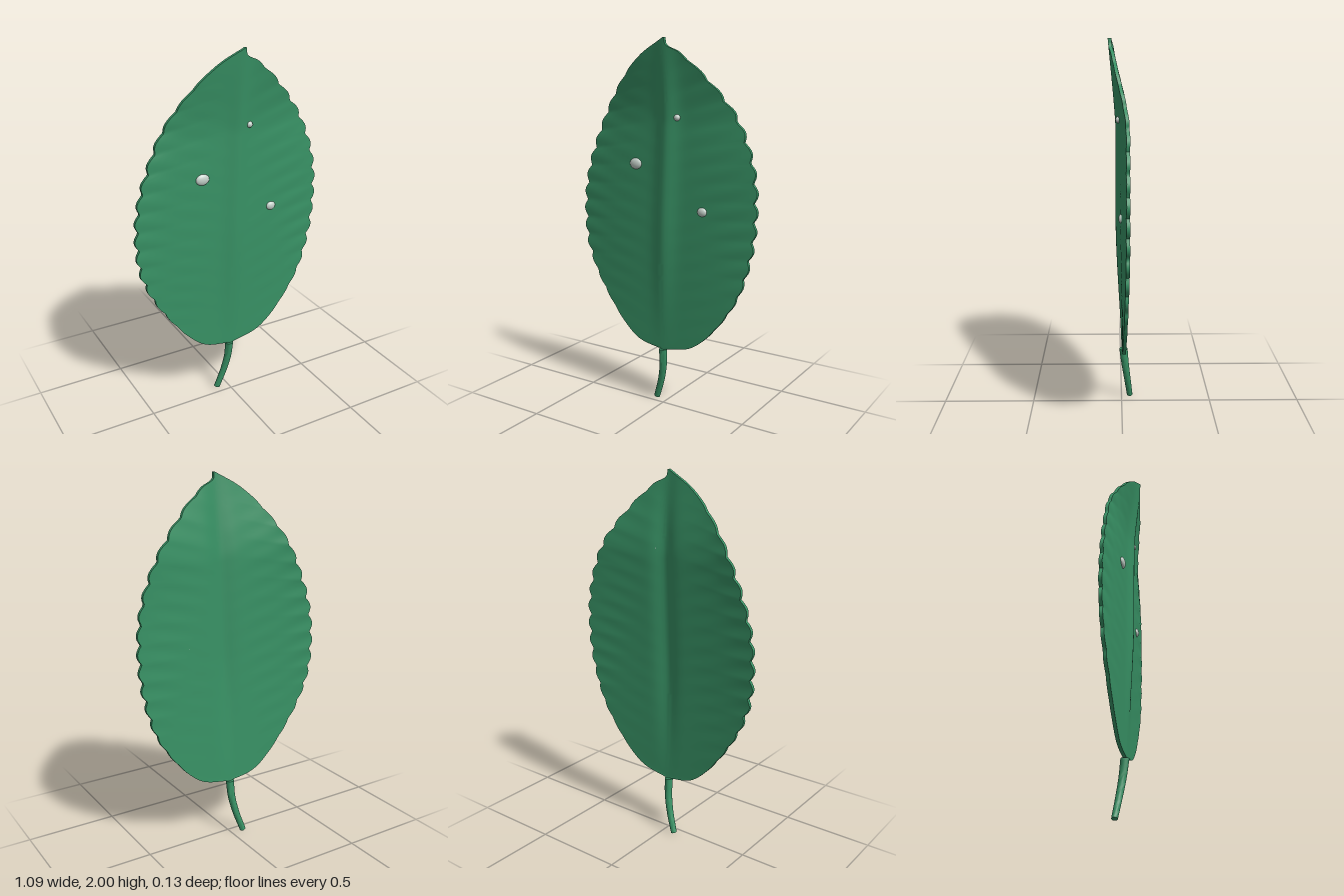
import * as THREE from 'three';
import { toCreasedNormals } from 'three/addons/utils/BufferGeometryUtils.js';

const ROWS = 180, HALF = 16, THICK = 0.018;
const smooth = THREE.MathUtils.smoothstep;
const curve = (pts) => new THREE.CatmullRomCurve3(pts.map((p) => new THREE.Vector3(p[0], p[1], p[2] || 0)));

// Outlines of the two sides, from the base to the tip
const leftEdge = curve([[0.547, 0], [0, 0]].slice(2).concat([
  [0, 0.315], [0.195, 0.37], [0.42, 0.63], [0.505, 0.86], [0.537, 1.1], [0.52, 1.35],
  [0.43, 1.59], [0.275, 1.79], [0.125, 1.925], [0.055, 1.965], [0.048, 2.0]]));
const rightEdge = curve([
  [0, 0.315], [-0.18, 0.36], [-0.4, 0.61], [-0.515, 0.85], [-0.537, 1.07], [-0.515, 1.26],
  [-0.46, 1.43], [-0.365, 1.63], [-0.245, 1.79], [-0.11, 1.915], [0.043, 2.0]]);

// Centre line bends towards the tip
const midX = (y) => 0.046 * smooth(y, 0.4, 2.1) ** 0.8;

// Depth of the middle of the blade; s runs from 0 at the midrib to 1 at the edge
function depth(x, y, s) {
  const low = smooth(y, 0.2, 1.1), top = 1 - smooth(y, 1.6, 1.98);
  const ridge = 0.022 * Math.exp(-(((x - midX(y)) / 0.055) ** 2));
  const dome = 0.012 * (1 - s * s) - 0.015 * s * s;
  const ripple = 0.0011 * s * Math.sin((y - 0.35 * Math.abs(x)) * 58);
  const curl = 0.066 * smooth(y, 1.55, 2.05);
  return -0.01 + curl + low * (top * (dome + ripple) + ridge * (0.35 + 0.65 * top));
}

// Point on the outline with rounded teeth
function edgePoint(edge, u, side) {
  const p = edge.getPoint(u);
  const fade = smooth(u, 0.1, 0.35) * (1 - smooth(u, 0.6, 0.92));
  const wave = Math.abs(Math.sin(p.y * Math.PI / 0.1 + side * 0.4)) - 0.6;
  p.x += side * wave * (0.003 * smooth(u, 0.08, 0.2) * (1 - smooth(u, 0.8, 0.95)) + 0.02 * fade);
  return p;
}

// Closed loops of front and back points joined from base to tip
function bladeGeometry() {
  const pos = [], index = [], cols = HALF * 2 + 1, ring = cols * 2;
  for (let i = 0; i <= ROWS; i++) {
    const u = 0.002 + 0.998 * i / ROWS;
    const l = edgePoint(leftEdge, u, 1), r = edgePoint(rightEdge, u, -1);
    const y0 = (l.y + r.y) / 2;
    const mid = new THREE.Vector3(THREE.MathUtils.clamp(midX(y0), r.x, l.x), y0, 0);
    const row = [];
    for (let j = -HALF; j <= HALF; j++) {
      const s = Math.abs(j) / HALF;
      const p = mid.clone().lerp(j < 0 ? r : l, s ** 1.25);
      row.push([p.x, p.y, depth(p.x, p.y, s ** 1.25)]);
    }
    row.forEach((p) => pos.push(p[0], p[1], p[2] + THICK / 2));
    row.reverse().forEach((p) => pos.push(p[0], p[1], p[2] - THICK / 2));
  }
  for (let i = 0; i < ROWS; i++) {
    for (let j = 0; j < ring; j++) {
      const a = i * ring + j, b = i * ring + (j + 1) % ring;
      index.push(a, b, b + ring, a, b + ring, a + ring);
    }
  }
  // Close the base and the tip
  const end = ROWS * ring;
  for (let j = 0; j < cols - 1; j++) {
    const a = j, b = j + 1, c = ring - 1 - j, d = ring - 2 - j;
    index.push(a, c, d, a, d, b, end + a, end + d, end + c, end + a, end + b, end + d);
  }
  const geo = new THREE.BufferGeometry();
  geo.setAttribute('position', new THREE.Float32BufferAttribute(pos, 3));
  geo.setIndex(index);
  return toCreasedNormals(geo, 0.8);
}

// Tapered cylinder bent along a curve
function stalkGeometry() {
  const path = curve([[-0.071, 0.006, -0.047], [-0.033, 0.12, -0.033], [-0.012, 0.22, -0.02], [-0.007, 0.315, -0.01]]);
  const geo = new THREE.CylinderGeometry(0.023, 0.016, 1, 16, 16);
  const pos = geo.attributes.position;
  for (let i = 0; i < pos.count; i++) {
    const t = pos.getY(i) + 0.5, p = path.getPoint(t);
    const tilt = -0.35 * pos.getX(i) * (1 - t);
    pos.setXYZ(i, p.x + pos.getX(i), p.y + tilt, p.z + pos.getZ(i));
  }
  return toCreasedNormals(geo, 0.8);
}

export function createModel() {
  const group = new THREE.Group();
  group.name = 'leaf';
  const green = new THREE.MeshStandardMaterial({ color: 0x389265 });
  green.name = 'leafGreen';
  const pale = new THREE.MeshStandardMaterial({ color: 0xc6d2cb });
  pale.name = 'dewWhite';

  const add = (name, geo, mat) => {
    const mesh = new THREE.Mesh(geo, mat);
    mesh.name = name;
    group.add(mesh);
    return mesh;
  };
  add('blade', bladeGeometry(), green);
  add('stalk', stalkGeometry(), green);

  // Dew drops: x, y, half width, half height
  [[-0.17, 1.345, 0.038, 0.03], [0.243, 1.12, 0.028, 0.024], [0.097, 1.6, 0.018, 0.017]].forEach(([x, y, w, h], i) => {
    const drop = add('dewDrop' + (i + 1), new THREE.SphereGeometry(1, 20, 14), pale);
    drop.scale.set(w, h, 0.016);
    drop.position.set(x, y, depth(x, y, Math.abs(x) / 0.52) + 0.008);
  });
  return group;
}
